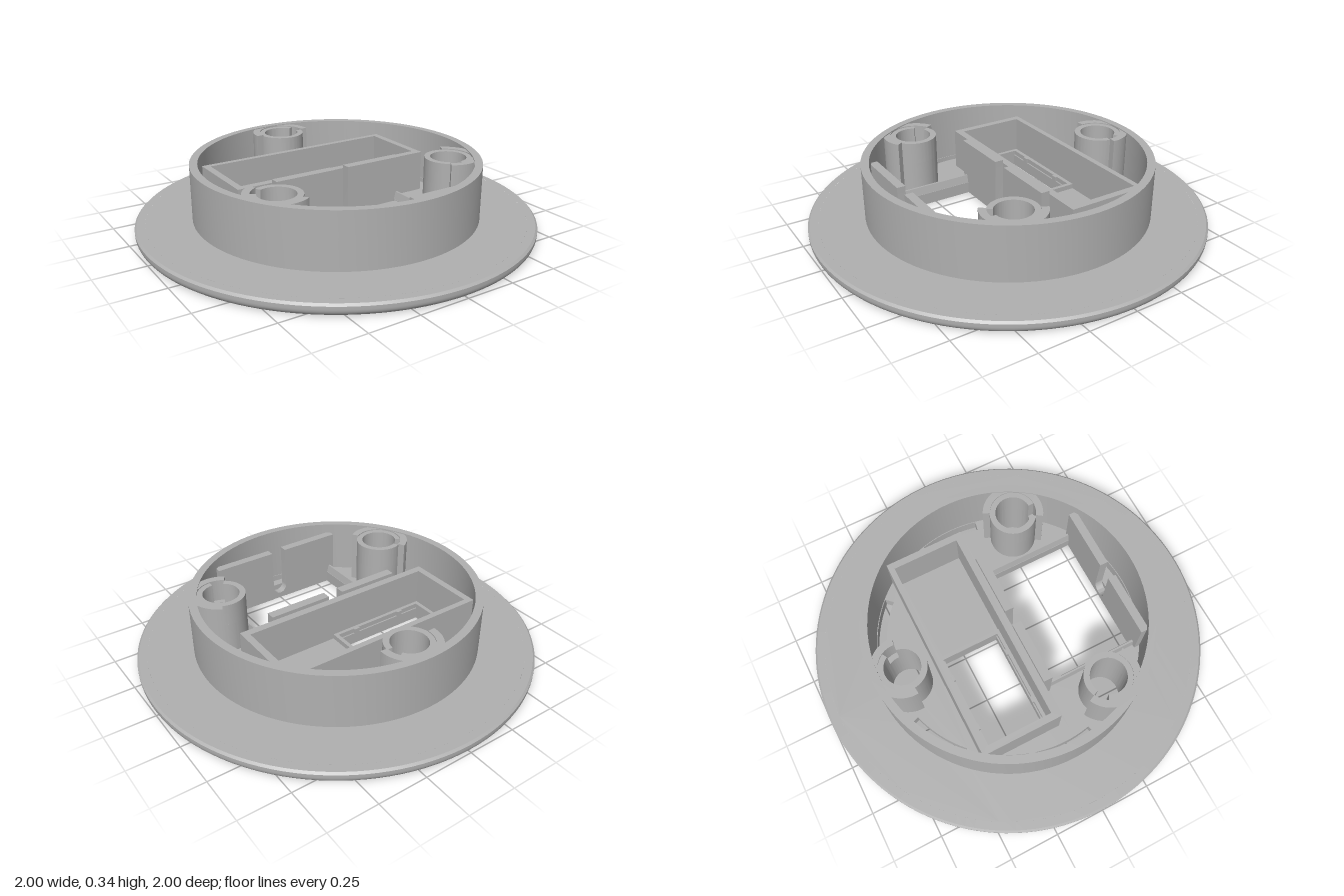
import * as THREE from 'three';
import { toCreasedNormals } from 'three/addons/utils/BufferGeometryUtils.js';

const grey = new THREE.MeshStandardMaterial({ color: 0xb0b0b0 });
grey.name = 'grey plastic';

const deg = Math.PI / 180;
const POST_Z = -0.565;

// Plan outlines are drawn as (x, z).
function outline(points, Type = THREE.Shape) {
  return new Type(points.map(([x, z]) => new THREE.Vector2(x, z)));
}
function rect(x0, x1, z0, z1, Type) {
  return outline([[x0, z0], [x1, z0], [x1, z1], [x0, z1]], Type);
}
function circle(x, z, r, Type = THREE.Path) {
  return new Type().absarc(x, z, r, 0, Math.PI * 2, false);
}
// Band between two radii; angles in degrees clockwise from the back (-z).
function band(r0, r1, a0, a1, z = 0, Type = THREE.Shape) {
  const s = (a0 - 90) * deg, e = (a1 - 90) * deg;
  const p = new Type();
  p.absarc(0, z, r1, s, e, false);
  p.absarc(0, z, r0, e, s, true);
  p.closePath();
  return p;
}

function mesh(name, geometry) {
  const m = new THREE.Mesh(toCreasedNormals(geometry, 0.5), grey);
  m.name = name;
  return m;
}
// Raise a plan outline from height y0 to y1.
function slab(name, shape, y0, y1) {
  const g = new THREE.ExtrudeGeometry(shape, { depth: y1 - y0, bevelEnabled: false, curveSegments: 48 });
  g.rotateX(Math.PI / 2).translate(0, y1, 0);
  return mesh(name, g);
}
function frame(name, o, i, y0, y1) {
  const s = rect(...o);
  s.holes.push(rect(...i, THREE.Path));
  return slab(name, s, y0, y1);
}

function basePlate() {
  const g = new THREE.Group();
  g.name = 'basePlate';
  const disc = circle(0, 0, 0.95, THREE.Shape);

  // screw holes
  for (const k of [0, 120, 240]) {
    disc.holes.push(circle(-POST_Z * Math.sin(k * deg), POST_Z * Math.cos(k * deg), 0.09));
  }
  // vent slots
  const slots = [[17, 44], [57, 72], [75, 102]];
  for (const [a, b] of slots) {
    disc.holes.push(band(0.63, 0.678, a, b, 0, THREE.Path));
    disc.holes.push(band(0.63, 0.678, 360 - b, 360 - a, 0, THREE.Path));
  }
  disc.holes.push(band(0.63, 0.678, 167, 193, 0, THREE.Path));
  // small window, and large window with a tab at each end
  disc.holes.push(rect(-0.49, 0.02, -0.355, -0.06, THREE.Path));
  disc.holes.push(outline([
    [-0.32, 0.05], [-0.04, 0.05], [-0.04, 0.005], [0.04, 0.005], [0.04, 0.05], [0.33, 0.05],
    [0.33, 0.545], [0.04, 0.545], [0.04, 0.585], [-0.04, 0.585], [-0.04, 0.545], [-0.32, 0.545],
  ], THREE.Path));
  g.add(slab('disc', disc, 0, 0.06));

  // rounded rim
  const rim = [new THREE.Vector2(0.95, 0), new THREE.Vector2(0.965, 0)];
  for (let i = 1; i <= 6; i++) {
    const a = (i / 6) * Math.PI / 2;
    rim.push(new THREE.Vector2(0.965 + 0.035 * Math.sin(a), 0.035 - 0.035 * Math.cos(a)));
  }
  rim.push(new THREE.Vector2(1, 0.05), new THREE.Vector2(0.99, 0.06), new THREE.Vector2(0.95, 0.06));
  g.add(mesh('rim', new THREE.LatheGeometry(rim, 128)));
  return g;
}

function screwPost() {
  const g = new THREE.Group();
  g.name = 'screwPost';
  const tube = circle(0, POST_Z, 0.12, THREE.Shape);
  tube.holes.push(circle(0, POST_Z, 0.09));
  g.add(slab('postBase', tube, 0.06, 0.22));
  // upper part has a key notch
  g.add(slab('postTop', band(0.09, 0.12, 95, 420, POST_Z), 0.22, 0.33));
  // collar joining the post to the ring
  const collar = new THREE.Shape();
  collar.absarc(0, POST_Z, 0.155, 5 * deg, -45 * deg, true);
  collar.absarc(0, 0, 0.69, -81 * deg, -99 * deg, true);
  collar.absarc(0, POST_Z, 0.155, -135 * deg, -185 * deg, true);
  collar.absarc(0, POST_Z, 0.118, -185 * deg, 5 * deg, false);
  collar.closePath();
  g.add(slab('collar', collar, 0.06, 0.335));
  return g;
}

// Upright plate with a round-bottomed slit in the middle
function slitPlate(z0, z1) {
  const s = new THREE.Shape();
  s.moveTo(-0.365, 0.001);
  s.lineTo(0.365, 0.001);
  s.lineTo(0.365, 0.29);
  s.lineTo(0.04, 0.29);
  s.lineTo(0.04, 0.07);
  s.absarc(0, 0.07, 0.04, 0, -Math.PI, true);
  s.lineTo(-0.04, 0.29);
  s.lineTo(-0.365, 0.29);
  s.closePath();
  const geo = new THREE.ExtrudeGeometry(s, { depth: z1 - z0, bevelEnabled: false, curveSegments: 16 });
  return mesh('slitPlate', geo.translate(0, 0, z0));
}

// Low sloped rail along a side of the large window
function rail(x, side) {
  const s = new THREE.Shape();
  s.moveTo(x, 0.05);
  s.lineTo(x + side * 0.03, 0.05);
  s.lineTo(x + side * 0.022, 0.1);
  s.lineTo(x + side * 0.012, 0.1);
  s.closePath();
  const geo = new THREE.ExtrudeGeometry(s, { depth: 0.495, bevelEnabled: false });
  return mesh('windowRail', geo.translate(0, 0, 0.05));
}

export function createModel() {
  const model = new THREE.Group();
  model.name = 'roundMount';
  model.add(basePlate());

  // round wall
  const wall = circle(0, 0, 0.722, THREE.Shape);
  wall.holes.push(circle(0, 0, 0.682));
  model.add(slab('ringWall', wall, 0.06, 0.34));

  // three screw posts
  for (let k = 0; k < 3; k++) {
    const post = screwPost();
    post.rotation.y = -k * 120 * deg;
    model.add(post);
  }

  // open box with a lip round its window
  model.add(frame('boxWalls', [-0.545, 0.545, -0.412, 0.003], [-0.51, 0.51, -0.383, -0.035], 0.06, 0.272));
  model.add(frame('windowLip', [-0.51, 0.04, -0.383, -0.035], [-0.49, 0.02, -0.362, -0.053], 0.06, 0.085));
  for (const x of [-0.37, -0.09]) {
    for (const z of [-0.362, -0.053]) {
      const nub = new THREE.BoxGeometry(0.03, 0.025, 0.02).translate(x, 0.0725, z);
      model.add(mesh('lipNub', nub));
    }
  }

  // large window fittings
  model.add(slitPlate(0.004, 0.05), slitPlate(0.545, 0.588));
  model.add(rail(-0.32, -1), rail(0.33, 1));
  return model;
}
